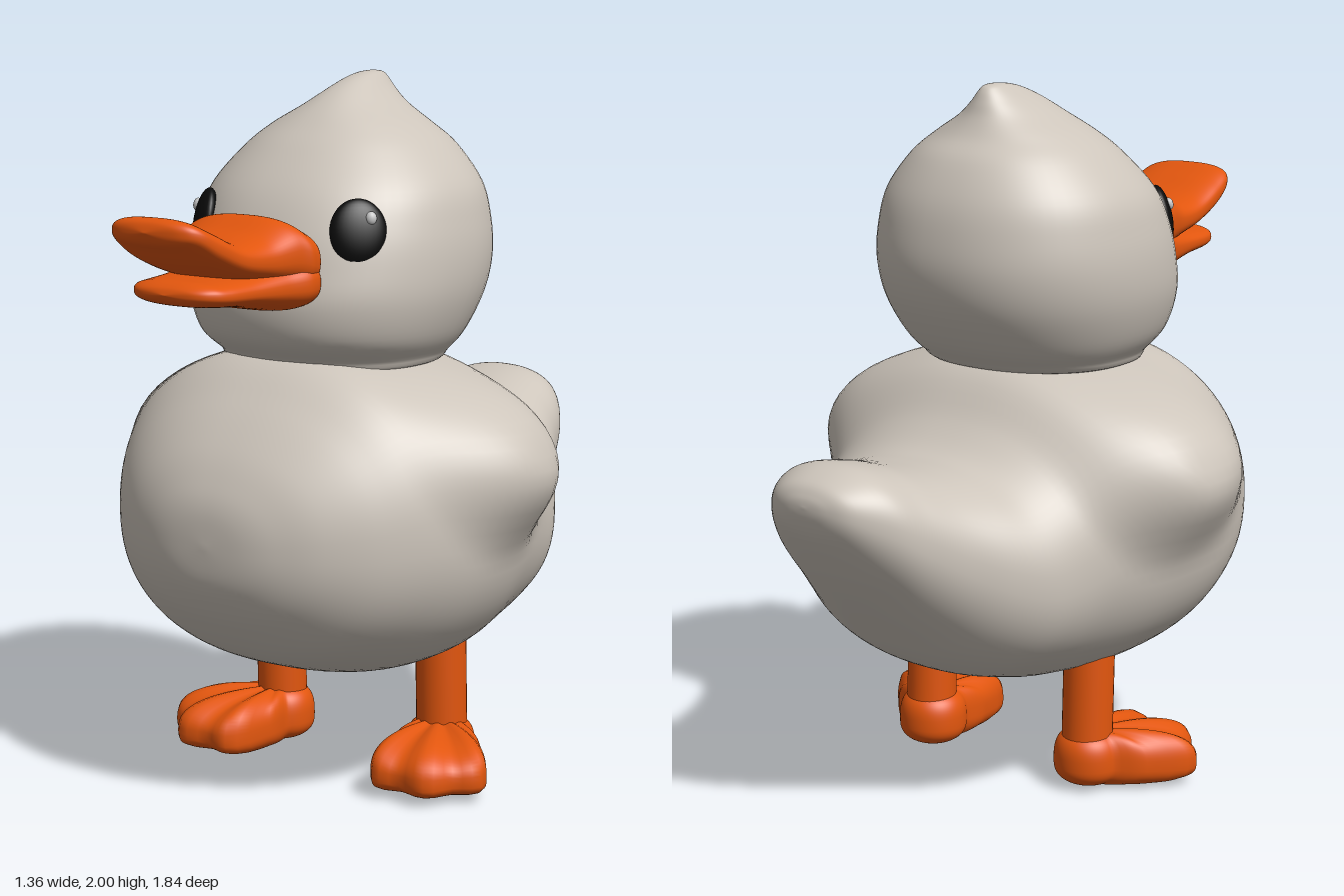
import * as THREE from 'three';
import { mergeVertices } from 'three/addons/utils/BufferGeometryUtils.js';

const material = (name, color) => Object.assign(new THREE.MeshStandardMaterial({ color }), { name });
const smooth = THREE.MathUtils.smoothstep;

// Uniform Catmull-Rom through rows of numbers, t in 0..1
function sampleRows(rows, t) {
  const last = rows.length - 1;
  const i = Math.min(Math.floor(t * last), last - 1), f = t * last - i;
  const [a, b, c, d] = [Math.max(i - 1, 0), i, i + 1, Math.min(i + 2, last)].map((k) => rows[k]);
  return b.map((p, k) => p + 0.5 * f * (c[k] - a[k] +
    f * (2 * a[k] - 5 * p + 4 * c[k] - d[k] + f * (3 * (p - c[k]) + d[k] - a[k]))));
}

// Superellipse rings; rows are [u, high, low, halfWidth], u rising along 'z' or 'y'
function loft(rows, axis, power, deform = () => {}, rings = 72, sides = 64) {
  const positions = [], index = [], p = new THREE.Vector3();
  const bend = (v) => Math.sign(v) * Math.abs(v) ** (2 / power);
  for (let i = 0; i <= rings; i++) {
    const [u, high, low, w] = sampleRows(rows, i / rings);
    for (let j = 0; j < sides; j++) {
      const a = (j / sides) * Math.PI * 2;
      const x = w * bend(Math.cos(a));
      const v = (high + low) / 2 + ((high - low) / 2) * bend(Math.sin(a));
      if (axis === 'z') p.set(x, v, u); else p.set(x, u, v);
      deform(p);
      positions.push(p.x, p.y, p.z);
      if (i === rings) continue;
      const k = i * sides + j, n = i * sides + ((j + 1) % sides);
      if (axis === 'z') index.push(k, n, n + sides, k, n + sides, k + sides);
      else index.push(k, n + sides, n, k, k + sides, n + sides);
    }
  }
  let g = new THREE.BufferGeometry();
  g.setAttribute('position', new THREE.Float32BufferAttribute(positions, 3));
  g.setIndex(index);
  g = mergeVertices(g);
  g.computeVertexNormals();
  return g;
}

// Wing swelling on the sides of the body
function swellWings(p) {
  const dz = p.z / (p.z < 0 ? 0.33 : 0.42), dy = (p.y - 1.0) / 0.33;
  const bump = 1 - smooth(Math.hypot(dz, dy), 0.15, 1);
  p.x += Math.sign(p.x) * 0.135 * bump * smooth(Math.abs(p.x), 0.12, 0.42);
}

// Webbed foot: a sphere reshaped to a three-toed plan, flat below
function footGeometry() {
  let g = new THREE.SphereGeometry(1, 72, 36);
  g.deleteAttribute('uv');
  g.deleteAttribute('normal');
  g = mergeVertices(g);
  const pos = g.attributes.position;
  for (let i = 0; i < pos.count; i++) {
    const x = pos.getX(i), y = pos.getY(i), z = pos.getZ(i);
    const a = Math.atan2(x, z), rad = Math.hypot(x, z) ** 0.75;
    const front = 1 - smooth(Math.abs(a), 0.3, 1.3);
    const toe = Math.cos((a / 0.56) * Math.PI * 2) * (1 - smooth(Math.abs(a), 0.7, 1.0));
    const r = rad * (0.1 + 0.22 * front + 0.02 * toe);
    const lift = y > 0 ? 0.1 * y ** 0.75 * (1 + 0.14 * toe * rad) : -0.065 * (-y) ** 0.6;
    pos.setXYZ(i, r * Math.sin(a), 0.067 + lift + 0.015 * (1 - front) * rad, r * Math.cos(a));
  }
  g.computeVertexNormals();
  return g;
}

export function createModel() {
  const plumage = material('plumage', 0xcdc5bb);
  const orange = material('orange skin', 0xe2560e);
  const black = material('eye black', 0x0b0b0b);
  const glint = material('eye glint', 0xc4c4c4);
  const model = new THREE.Group();
  model.name = 'duck';
  const add = (name, geometry, mat, parent = model) => {
    const mesh = new THREE.Mesh(geometry, mat);
    mesh.name = name;
    parent.add(mesh);
    return mesh;
  };

  // Body with tail and wings
  add('body', loft([
    [-0.922, 0.97, 0.97, 0], [-0.915, 1.0, 0.93, 0.07], [-0.885, 1.035, 0.865, 0.14],
    [-0.8, 1.063, 0.75, 0.215], [-0.7, 1.05, 0.64, 0.26], [-0.6, 1.025, 0.54, 0.315],
    [-0.5, 1.01, 0.45, 0.38], [-0.4, 1.015, 0.39, 0.435], [-0.3, 1.085, 0.355, 0.47],
    [-0.18, 1.215, 0.325, 0.51], [0, 1.25, 0.31, 0.56], [0.2, 1.255, 0.325, 0.575],
    [0.37, 1.24, 0.37, 0.535], [0.5, 1.14, 0.43, 0.45], [0.6, 1.03, 0.525, 0.335],
    [0.655, 0.94, 0.605, 0.225], [0.682, 0.865, 0.675, 0.125], [0.69, 0.77, 0.77, 0],
  ], 'z', 2.25, swellWings, 96, 80), plumage);

  // Head rising to a small crest
  add('head', loft([
    [1.2, 0.1, 0.1, 0], [1.205, 0.34, -0.15, 0.27], [1.24, 0.385, -0.22, 0.32],
    [1.3, 0.455, -0.28, 0.365], [1.4, 0.48, -0.34, 0.4], [1.5, 0.462, -0.365, 0.41],
    [1.6, 0.43, -0.36, 0.4], [1.7, 0.375, -0.335, 0.37], [1.8, 0.285, -0.28, 0.29],
    [1.86, 0.215, -0.22, 0.215], [1.91, 0.15, -0.185, 0.13], [1.95, 0.085, -0.167, 0.077],
    [1.98, 0.015, -0.152, 0.045], [1.995, -0.045, -0.135, 0.025], [2.0, -0.1, -0.1, 0],
  ], 'y', 2.2), plumage);

  // Open bill
  const bill = new THREE.Group();
  bill.name = 'bill';
  model.add(bill);
  add('upperBill', loft([
    [0.41, 1.53, 1.53, 0], [0.42, 1.6, 1.45, 0.18], [0.465, 1.63, 1.44, 0.212],
    [0.51, 1.645, 1.45, 0.198], [0.6, 1.607, 1.475, 0.175], [0.7, 1.605, 1.5, 0.165],
    [0.8, 1.645, 1.54, 0.16], [0.87, 1.672, 1.585, 0.145], [0.905, 1.665, 1.607, 0.1],
    [0.92, 1.637, 1.637, 0],
  ], 'z', 2.6), orange, bill);
  add('lowerBill', loft([
    [0.41, 1.47, 1.47, 0], [0.42, 1.54, 1.405, 0.18], [0.47, 1.55, 1.388, 0.212],
    [0.55, 1.53, 1.4, 0.188], [0.65, 1.51, 1.418, 0.168], [0.75, 1.502, 1.428, 0.155],
    [0.8, 1.5, 1.436, 0.135], [0.832, 1.487, 1.45, 0.09], [0.845, 1.468, 1.468, 0],
  ], 'z', 2.6), orange, bill);

  // Eyes, legs and feet on both sides
  const foot = footGeometry();
  for (const s of [1, -1]) {
    const side = s > 0 ? 'left' : 'right';
    const eye = new THREE.Group();
    eye.name = side + 'Eye';
    eye.position.set(s * 0.26, 1.6, 0.34);
    eye.lookAt(s * (0.26 + 0.7), 1.6 + 0.2, 0.34 + 0.7);
    model.add(eye);
    add('eyeball', new THREE.SphereGeometry(1, 32, 20), black, eye).scale.set(0.078, 0.09, 0.03);
    const shine = add('eyeGlint', new THREE.SphereGeometry(1, 16, 12), glint, eye);
    shine.scale.set(0.015, 0.018, 0.012);
    shine.position.set(s * 0.032, 0.035, 0.024);

    const leg = add(side + 'Leg', new THREE.CylinderGeometry(0.073, 0.073, 0.36, 32), orange);
    leg.position.set(s * 0.285, 0.28, -0.038);
    leg.rotation.x = 0.03;
    const web = add(side + 'Foot', foot, orange);
    web.position.set(s * 0.285, 0, -0.035);
    web.rotation.y = s * 0.44;
  }
  return model;
}
